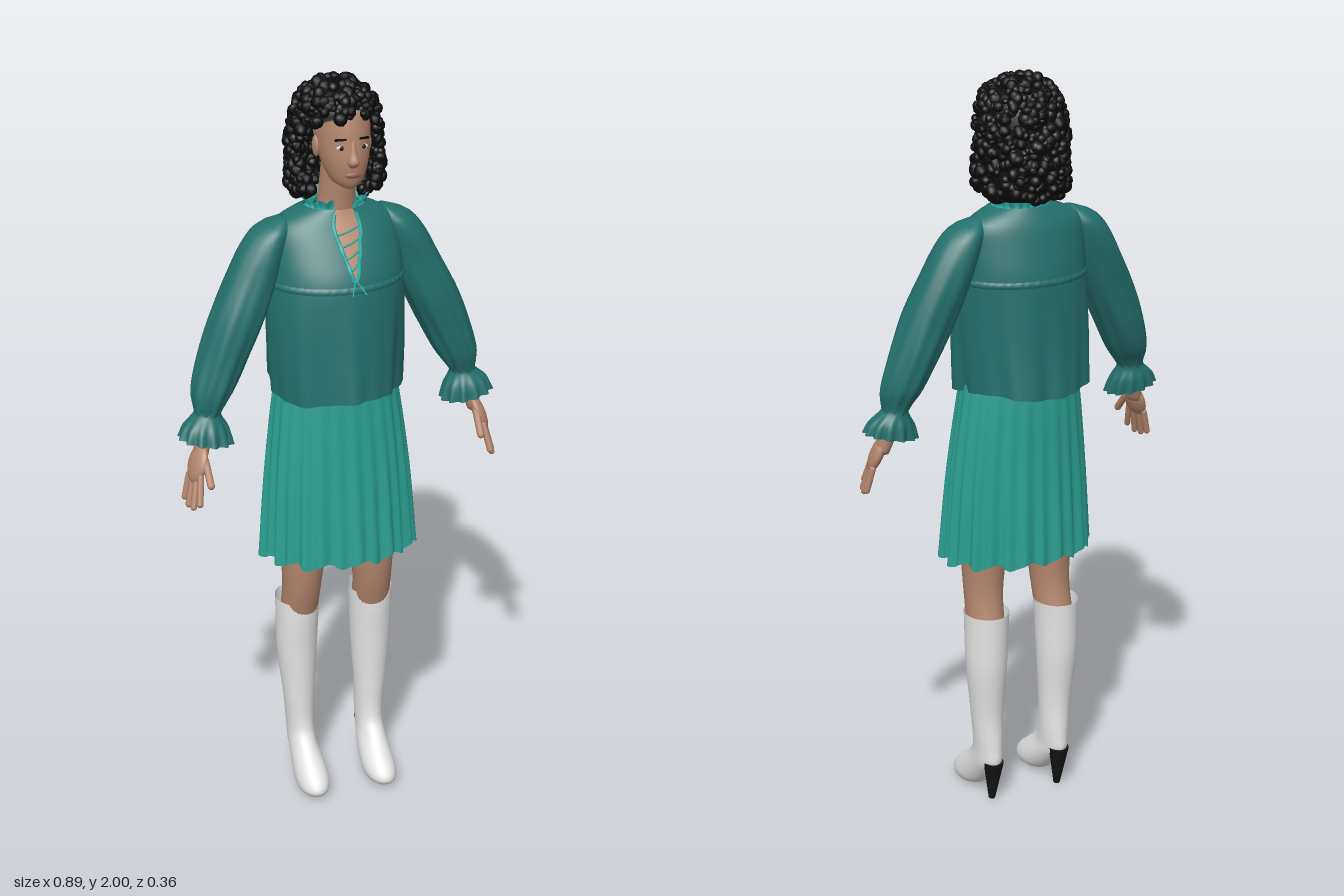
import * as THREE from 'three';
import { mergeGeometries } from 'three/addons/utils/BufferGeometryUtils.js';

const mat = (name, color, side = THREE.FrontSide) => {
  const m = new THREE.MeshStandardMaterial({ color, side });
  m.name = name;
  return m;
};

// Smooth interpolation of profile keys [y, centreX, centreZ, radiusX, radiusZ], ordered upwards
function at(keys, y) {
  let i = 0;
  while (i < keys.length - 2 && y > keys[i + 1][0]) i++;
  const k = j => keys[Math.min(Math.max(j, 0), keys.length - 1)];
  const [p, q, h] = [k(i), k(i + 1), k(i + 1)[0] - k(i)[0]];
  const t = Math.min(Math.max((y - p[0]) / h, 0), 1);
  const slope = (j, c) => (k(j + 1)[c] - k(j - 1)[c]) / (k(j + 1)[0] - k(j - 1)[0]);
  return [1, 2, 3, 4].map(c =>
    (2 * t ** 3 - 3 * t * t + 1) * p[c] + (t ** 3 - 2 * t * t + t) * h * slope(i, c) +
    (3 * t * t - 2 * t ** 3) * q[c] + (t ** 3 - t * t) * h * slope(i + 1, c));
}

// Point on a profile surface; angle 0 faces the front and grows towards +x
function surf(keys, y, a, grow = 1) {
  const [cx, cz, rx, rz] = at(keys, y);
  return new THREE.Vector3(cx + rx * grow * Math.sin(a), y, cz + rz * grow * Math.cos(a));
}

// Skin a stack of horizontal cross-sections, with optional folds, hem waves, openings and caps
function loft(keys, { n = 32, steps = 24, fold = () => 1, wave = () => 0, arc = null,
  y0 = keys[0][0], y1 = keys[keys.length - 1][0], bottom = false, top = false } = {}) {
  const pos = [], idx = [], cols = arc ? n + 1 : n;
  for (let i = 0; i <= steps; i++) {
    const t = i / steps, y = y0 + (y1 - y0) * t;
    const [a0, a1] = arc ? arc(y) : [0, Math.PI * 2];
    for (let j = 0; j < cols; j++) {
      const a = a0 + (a1 - a0) * j / n;
      const p = surf(keys, y, a, fold(a, t));
      pos.push(p.x, p.y + wave(a, t), p.z);
    }
  }
  for (let i = 0; i < steps; i++) for (let j = 0; j < n; j++) {
    const k = (j + 1) % cols, r = i * cols, s = r + cols;
    idx.push(r + j, r + k, s + k, r + j, s + k, s + j);
  }
  const cap = (y, row, up) => {
    const [cx, cz] = at(keys, y), c = pos.length / 3;
    pos.push(cx, y, cz);
    for (let j = 0; j < n; j++) {
      const k = (j + 1) % cols;
      idx.push(row + (up ? j : k), row + (up ? k : j), c);
    }
  };
  if (bottom) cap(y0, 0, false);
  if (top) cap(y1, steps * cols, true);
  const g = new THREE.BufferGeometry();
  g.setAttribute('position', new THREE.Float32BufferAttribute(pos, 3));
  g.setIndex(idx);
  g.computeVertexNormals();
  return g;
}

// Profiles
const blouseKeys = [[1.185, -.005, 0, .172, .172], [1.3, -.005, 0, .18, .158], [1.42, -.003, -.003, .182, .147],
  [1.5, 0, -.008, .178, .137], [1.57, 0, -.018, .172, .112], [1.625, 0, -.027, .16, .088],
  [1.65, .003, -.028, .125, .075], [1.668, .005, -.026, .08, .066]];
const skirtKeys = [[.71, .003, .01, .207, .14], [.95, .002, .003, .192, .124], [1.19, 0, -.005, .165, .11], [1.32, 0, -.005, .14, .1]];
const headKeys = [[1.735, .015, .05, .018, .03], [1.75, .015, .04, .04, .049], [1.8, .015, .02, .06, .078],
  [1.85, .015, .003, .068, .093], [1.9, .015, -.01, .07, .1], [1.94, .015, -.015, .062, .09], [1.975, .015, -.02, .03, .04]];
const noseKeys = [[1.795, .015, .09, .01, .01], [1.808, .015, .094, .016, .021], [1.83, .015, .092, .01, .014], [1.865, .015, .088, .006, .006]];
const hairKeys = [[1.69, .005, -.06, .085, .06], [1.72, .006, -.035, .115, .098], [1.78, .006, -.03, .118, .108],
  [1.85, .005, -.025, .113, .113], [1.92, .005, -.02, .1, .108], [1.965, .005, -.02, .072, .08], [1.988, .005, -.02, .025, .025]];
const legKeys = [[.5, .103, -.015, .05, .055], [.6, .1, .008, .052, .058], [.7, .097, .012, .06, .066], [.85, .095, .005, .075, .075], [1.05, .085, 0, .08, .085]];
const bootKeys = [[.003, .1, .1, .03, .045], [.018, .098, .094, .043, .07], [.045, .097, .073, .045, .08],
  [.08, .098, .033, .041, .076], [.11, .1, 0, .037, .071], [.15, .1, -.016, .037, .055], [.25, .103, -.017, .043, .05],
  [.4, .106, -.022, .055, .06], [.5, .105, -.02, .058, .066], [.555, .104, -.02, .06, .068]];
const sleeveKeys = [[1.155, .362, -.02, .03, .035], [1.18, .355, -.02, .04, .04], [1.22, .342, -.025, .055, .055],
  [1.3, .31, -.03, .065, .065], [1.4, .267, -.03, .072, .07], [1.5, .222, -.035, .068, .07],
  [1.58, .185, -.035, .06, .065], [1.625, .158, -.035, .045, .05], [1.645, .138, -.035, .015, .02]];
const cuffKeys = [[1.095, .37, -.012, .068, .056], [1.13, .367, -.015, .058, .05], [1.165, .36, -.02, .034, .036], [1.185, .354, -.02, .042, .042]];
const forearmKeys = [[1.05, .392, -.003, .019, .025], [1.1, .377, -.012, .022, .028], [1.17, .355, -.02, .028, .03]];

export function createModel() {
  const D = THREE.DoubleSide;
  const skin = mat('skin', 0xb5876d), hair = mat('black hair', 0x0b0b0c, D), blouse = mat('dark teal cloth', 0x24706c, D),
    skirt = mat('teal cloth', 0x2b9f90, D), aqua = mat('aqua trim', 0x2fb3ab, D), white = mat('white leather', 0xe9e9ea, D),
    heel = mat('black heel', 0x151515), eyeWhite = mat('eye white', 0xd8d2cc), iris = mat('dark iris', 0x22150f), lip = mat('lips', 0x995a50);
  const model = new THREE.Group();
  const add = (name, geo, m, parent = model) => {
    const mesh = new THREE.Mesh(geo, m);
    mesh.name = name;
    parent.add(mesh);
    return mesh;
  };
  const ball = (name, m, p, sx, sy, sz, parent = model) => {
    const b = add(name, new THREE.SphereGeometry(1, 16, 12), m, parent);
    b.position.copy(p);
    b.scale.set(sx, sy, sz);
    return b;
  };
  const cord = (name, pts, r) => add(name, new THREE.TubeGeometry(
    new THREE.CatmullRomCurve3(pts), 10, r, 5), aqua);

  // Head and face
  add('head', loft(headKeys, { bottom: true, top: true }), skin);
  add('neck', loft([[1.58, .005, -.03, .065, .06], [1.66, .008, -.025, .05, .05], [1.78, .012, -.01, .045, .05]]), skin);
  add('nose', loft(noseKeys, { n: 14, steps: 12, bottom: true, top: true }), skin);
  for (const s of [-1, 1]) {
    const eye = surf(headKeys, 1.845, s * .45, .975);
    ball('eye', eyeWhite, eye, .013, .006, .005);
    ball('iris', iris, eye.clone().add(new THREE.Vector3(0, 0, .003)), .006, .006, .0035);
    const brow = add('eyebrow', new THREE.BoxGeometry(.03, .005, .006), hair);
    brow.position.copy(surf(headKeys, 1.866, s * .45, 1));
    brow.rotation.set(0, s * .4, s * -.12);
    ball('ear', skin, surf(headKeys, 1.83, s * 1.65, 1.03), .009, .028, .018);
  }
  ball('lips', lip, surf(headKeys, 1.775, 0, .99), .021, .008, .007);

  // Curly hair: a shell open at the face, covered in small curls
  const opening = [[1.69, .8, 0, 0, 0], [1.74, .8, 0, 0, 0], [1.8, 1.25, 0, 0, 0], [1.86, 1.2, 0, 0, 0], [1.905, .75, 0, 0, 0], [1.925, .02, 0, 0, 0], [2, .0, 0, 0, 0]];
  const face = y => Math.max(0, at(opening, y)[0]);
  add('hairShell', loft(hairKeys, { n: 40, arc: y => [face(y), Math.PI * 2 - face(y)], fold: () => .97, top: true }), hair);
  let seed = 7;
  const rnd = () => (seed = (seed * 16807) % 2147483647) / 2147483647;
  const curls = [];
  for (let i = 0; i < 700; i++) {
    const y = 1.692 + .292 * Math.pow(rnd(), .9), f = face(y);
    const p = surf(hairKeys, y, f + (Math.PI * 2 - 2 * f) * rnd(), .9 + .12 * rnd());
    const g = new THREE.IcosahedronGeometry(.009 + .009 * rnd(), 1);
    g.scale(1, .7 + .7 * rnd(), 1);
    g.rotateX(rnd() * 3);
    curls.push(g.translate(p.x, p.y, p.z));
  }
  add('hairCurls', mergeGeometries(curls), hair);

  // Loose blouse, gathered below the chest seam
  const drape = (a, t) => {
    const d = Math.max(0, 1 - t / .6);
    return 1 + d * (.035 * Math.sin(5 * a + .6) + .03 * Math.sin(9 * a + 2) + .015 * Math.cos(17 * a));
  };
  add('blouse', loft(blouseKeys, { n: 120, steps: 40, fold: drape, wave: (a, t) => (1 - t) * .007 * Math.sin(3 * a + 1) }), blouse);
  add('chestSeam', loft(blouseKeys, { n: 120, steps: 4, y0: 1.475, y1: 1.492,
    fold: (a, t) => 1.006 + .02 * Math.sin(Math.PI * t) * (1 + .6 * Math.sin(46 * a)) }), blouse);

  // Neck opening with its lacing, and the frilled collar
  add('neckOpening', loft(blouseKeys, { n: 6, steps: 16, y0: 1.51, y1: 1.668, fold: () => 1.012,
    arc: y => { const w = .02 + (y - 1.51) * 1.6; return [.06 - w, .06 + w]; } }), skin);
  for (const s of [-1, 1]) {
    const edge = [0, 1, 2, 3, 4, 5, 6, 7].map(i => {
      const y = 1.505 + i * .022;
      return surf(blouseKeys, y, .06 + s * (.03 + (y - 1.51) * 1.6), i % 2 ? 1.06 : 1.01);
    });
    cord('openingFrill', edge, .0055);
    const p = surf(blouseKeys, 1.51, .06, 1.02);
    cord('tieCord', [p, p.clone().add(new THREE.Vector3(s * .008, -.012, .015)), p.clone().add(new THREE.Vector3(s * .018, -.028, .035))], .002);
  }
  for (let i = 0; i < 4; i++) {
    const y = 1.53 + i * .027, w = .04 + (y - 1.51) * 1.4;
    cord('lacing', [surf(blouseKeys, y, .06 - w, 1.03), surf(blouseKeys, y + .008, .06, 1.07), surf(blouseKeys, y + .016, .06 + w, 1.03)], .0025);
  }
  add('frillCollar', loft([[1.652, .005, -.024, .086, .07], [1.668, .005, -.026, .073, .064], [1.692, .005, -.026, .084, .074]], {
    n: 120, steps: 8, arc: () => [.4, Math.PI * 2 - .3],
    fold: (a, t) => 1 + (.02 + .06 * t) * Math.sin(24 * a), wave: (a, t) => t * .005 * Math.cos(17 * a) }), aqua);

  // Pleated skirt
  add('skirt', loft(skirtKeys, { n: 208, steps: 20,
    fold: (a, t) => 1 + (1 - t) * (.035 * Math.sin(26 * a) + .02 * Math.sin(11 * a + 1) + .015 * Math.sin(7 * a)),
    wave: (a, t) => (1 - t) ** 3 * .008 * Math.sin(13 * a) }), skirt);

  for (const s of [-1, 1]) {
    const side = s > 0 ? 'left' : 'right';
    // The right arm reaches further forward than the left
    const reach = y => s > 0 ? 0 : .015 + Math.max(0, 1.6 - y) * .12;
    const place = keys => keys.map(([y, x, z, rx, rz]) => [y, s * x, z + reach(y), rx, rz]);

    // Legs and high-heeled boots
    add(side + 'Leg', loft(place(legKeys).map((k, i) => [k[0], k[1], legKeys[i][2], k[3], k[4]])), skin);
    const boot = bootKeys.map(([y, x, z, rx, rz]) => [y, s * x, z, rx, rz]);
    add(side + 'Boot', loft(boot, { steps: 50, bottom: true }), white);
    const spike = add(side + 'Heel', new THREE.CylinderGeometry(.028, .009, .115, 14), heel);
    spike.position.set(s * .1, .0585, -.046);
    spike.rotation.x = -.1;

    // Billowing sleeves, ruffled cuffs and forearms
    add(side + 'Sleeve', loft(place(sleeveKeys), { n: 64, steps: 36, top: true,
      fold: (a, t) => 1 + .04 * (1 - t) * Math.sin(10 * a) + .025 * Math.sin(4 * a + 8 * t) }), blouse);
    add(side + 'Cuff', loft(place(cuffKeys), { n: 96, steps: 14,
      fold: (a, t) => 1 + .1 * Math.max(0, 1 - t * 1.4) * Math.sin(12 * a),
      wave: (a, t) => s * (1 - t) * .012 * Math.sin(a) }), blouse);
    add(side + 'Forearm', loft(place(forearmKeys), { n: 18, steps: 10, bottom: true }), skin);

    // Hand with fingers pointing down and thumb forward
    const hand = new THREE.Group();
    hand.name = side + 'Hand';
    hand.position.set(s * .386, 1.085, -.007 + reach(1.085));
    hand.rotation.set(-.18, s * -.35, s * .34);
    model.add(hand);
    ball('palm', skin, new THREE.Vector3(0, -.048, .004), .017, .052, .037, hand);
    const finger = (name, from, to, r) => {
      const a = new THREE.Vector3(...from), b = new THREE.Vector3(...to), d = b.clone().sub(a);
      const f = add(name, new THREE.CapsuleGeometry(r, d.length(), 4, 10), skin, hand);
      f.position.copy(a).add(b).multiplyScalar(.5);
      f.quaternion.setFromUnitVectors(new THREE.Vector3(0, 1, 0), d.normalize());
    };
    [.05, .066, .07, .058].forEach((len, i) => {
      const z = -.024 + i * .018;
      finger('finger', [0, -.08, z], [s * -.008, -.09 - len, z * 1.35], .0085);
    });
    finger('thumb', [s * -.004, -.035, .028], [s * -.014, -.095, .062], .0095);
  }
  return model;
}
